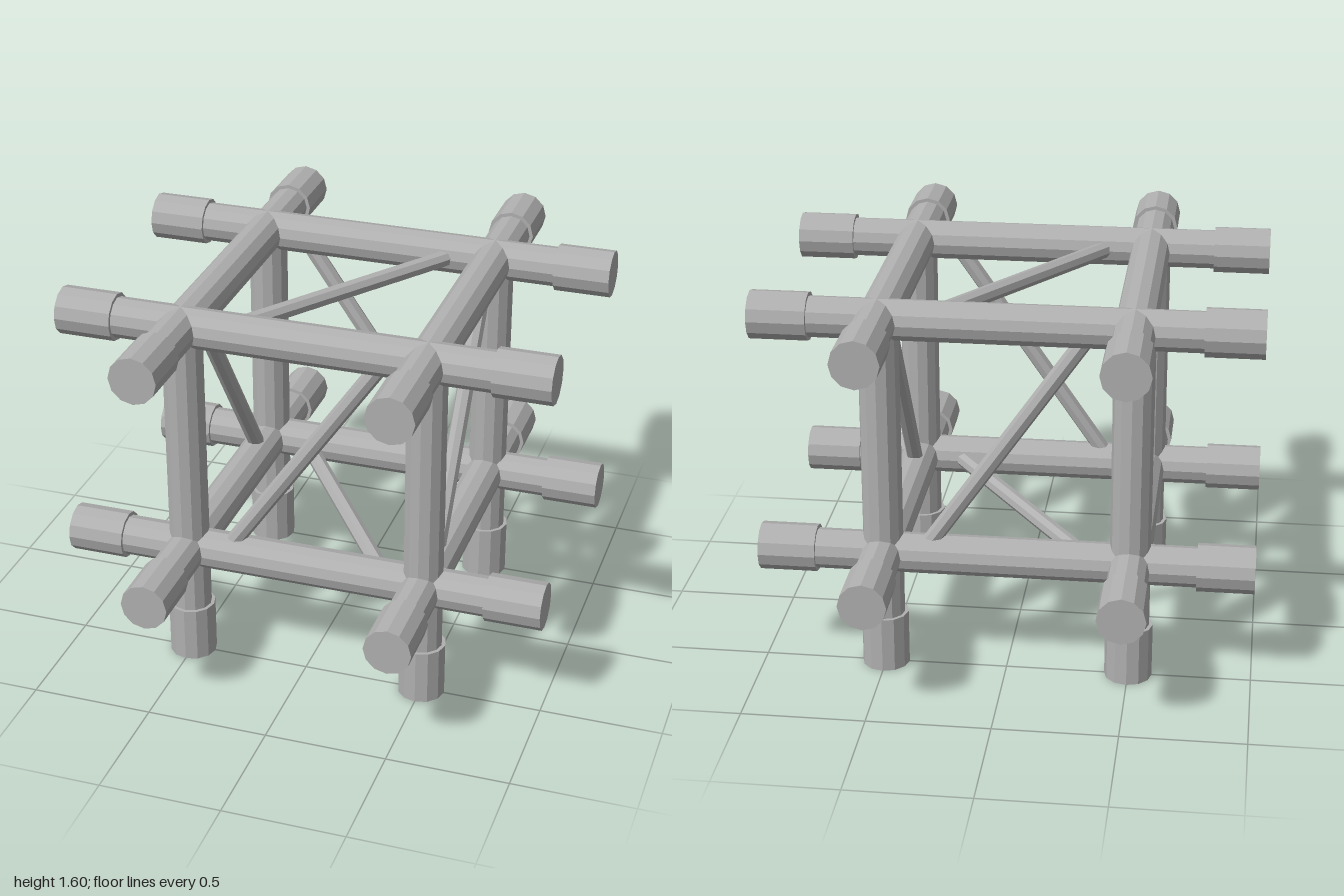
import * as THREE from 'three';

const TUBE_R = 0.082, CAP_R = 0.097, BRACE_R = 0.035;
const HALF = 0.5, MID_Y = 1.002, CAP_LEN = 0.232;

export function createModel() {
  const group = new THREE.Group();
  const steel = new THREE.MeshStandardMaterial({ color: 0xb0b0b0, flatShading: true });
  steel.name = 'steelGrey';

  // Cylinder running between two points, given relative to the cube centre
  function rod(name, a, b, radius, sides = 12) {
    const dir = b.clone().sub(a);
    const mesh = new THREE.Mesh(new THREE.CylinderGeometry(radius, radius, dir.length(), sides), steel);
    mesh.name = name;
    mesh.quaternion.setFromUnitVectors(new THREE.Vector3(0, 1, 0), dir.normalize());
    mesh.position.copy(a).add(b).multiplyScalar(0.5);
    mesh.position.y += MID_Y;
    group.add(mesh);
  }
  const v = (x, y, z) => new THREE.Vector3(x, y, z);

  for (const s of [-1, 1]) {
    for (const t of [-1, 1]) {
      const p = s * HALF, q = t * HALF;
      // Horizontal tubes with a sleeve on each end
      rod('crossTube', v(-0.9, p, q), v(0.9, p, q), TUBE_R);
      rod('depthTube', v(q, p, -0.9), v(q, p, 0.9), TUBE_R);
      for (const e of [-1, 1]) {
        const inner = e * (1 - CAP_LEN);
        rod('crossTubeSleeve', v(inner, p, q), v(e, p, q), CAP_R);
        rod('depthTubeSleeve', v(q, p, inner), v(q, p, e), CAP_R);
      }
      // Upright post with a foot sleeve
      rod('post', v(p, -0.9, q), v(p, HALF, q), TUBE_R);
      rod('footSleeve', v(p, -MID_Y, q), v(p, -MID_Y + CAP_LEN, q), CAP_R);
    }
    // One diagonal brace on each face, opposite faces leaning opposite ways
    const long = 0.47, short = long * 0.69, f = s * HALF;
    rod('sideBrace', v(f, -long, s * short), v(f, long, -s * short), BRACE_R, 8);
    rod('frontBackBrace', v(-s * short, -long, f), v(s * short, long, f), BRACE_R, 8);
    rod('topBottomBrace', v(-s * short, f, long), v(s * short, f, -long), BRACE_R, 8);
  }
  return group;
}
